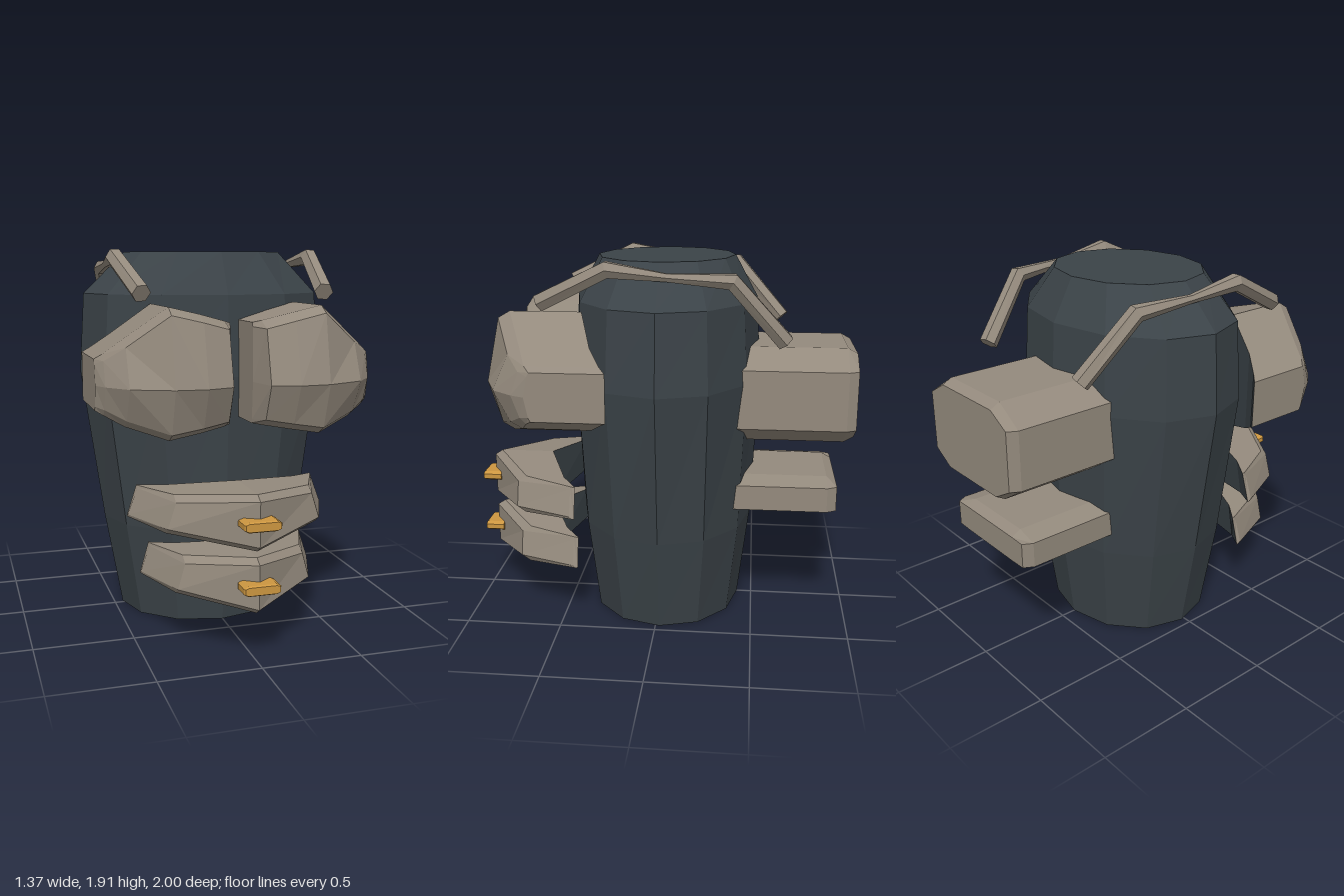
import * as THREE from 'three';

const armour = new THREE.MeshStandardMaterial({ color: 0x948a7d });
armour.name = 'taupe armour';
const dark = new THREE.MeshStandardMaterial({ color: 0x3b4348 });
dark.name = 'slate suit';
const gold = new THREE.MeshStandardMaterial({ color: 0xcc9640 });
gold.name = 'gold';

// Flat-shaded solid through closed rings of [x, y, z]; material group 1 holds
// the strip between the last and first point of each ring when backStrip is set.
function loft(rings, backStrip = false) {
  const main = [], back = [], n = rings[0].length;
  for (let i = 0; i + 1 < rings.length; i++) {
    for (let j = 0; j < n; j++) {
      const k = (j + 1) % n, out = backStrip && k === 0 ? back : main;
      const [a, b, c, d] = [rings[i][j], rings[i][k], rings[i + 1][k], rings[i + 1][j]];
      out.push([a, b, c], [a, c, d]);
    }
  }
  const first = rings[0], last = rings[rings.length - 1];
  for (let j = 1; j + 1 < n; j++) {
    main.push([first[0], first[j + 1], first[j]], [last[0], last[j], last[j + 1]]);
  }
  const tris = [...main, ...back];
  // Turn the solid outward if its signed volume is negative
  let volume = 0;
  const va = new THREE.Vector3(), vb = new THREE.Vector3(), vc = new THREE.Vector3();
  for (const [a, b, c] of tris) {
    volume += va.fromArray(a).dot(vb.fromArray(b).cross(vc.fromArray(c)));
  }
  if (volume < 0) tris.forEach((t) => t.reverse());
  const geo = new THREE.BufferGeometry();
  geo.setAttribute('position', new THREE.Float32BufferAttribute(tris.flat(2), 3));
  geo.computeVertexNormals();
  geo.addGroup(0, main.length * 3, 0);
  if (back.length) geo.addGroup(main.length * 3, back.length * 3, 1);
  return geo;
}

function add(parent, name, geo, material) {
  const mesh = new THREE.Mesh(geo, material);
  mesh.name = name;
  parent.add(mesh);
  return mesh;
}

// Twelve-sided tapering torso: [y, half width, half depth]
function torso() {
  const levels = [[0, 0.455, 0.4], [0.5, 0.545, 0.46], [1.29, 0.66, 0.495], [1.69, 0.635, 0.47], [1.9, 0.42, 0.355]];
  return loft(levels.map(([y, rx, rz]) => Array.from({ length: 12 }, (_, i) => {
    const a = (i / 12) * Math.PI * 2;
    return [rx * Math.sin(a), y, -0.02 + rz * Math.cos(a)];
  })));
}

// Bulging chest plate, built as upright slices from the middle outward
function chestPlate(side) {
  // x, top y, bottom y, inset, back z, rim z, inset z, middle z
  const slices = [
    [0.055, 1.57, 1.09, 0.02, 0.44, 0.65, 0.66, 0.67],
    [0.09, 1.58, 1.085, 0.035, 0.43, 0.68, 0.76, 0.83],
    [0.22, 1.615, 1.065, 0.035, 0.4, 0.72, 0.79, 0.87],
    [0.37, 1.65, 1.04, 0.035, 0.37, 0.73, 0.79, 0.86],
    [0.56, 1.505, 1.1, 0.035, 0.3, 0.64, 0.7, 0.78],
    [0.65, 1.435, 1.15, 0.03, 0.24, 0.6, 0.63, 0.67],
    [0.685, 1.41, 1.17, 0.02, 0.21, 0.57, 0.58, 0.6],
  ];
  return loft(slices.map(([x, top, bottom, inset, zBack, zRim, zInset, zMid]) => [
    [bottom, zBack], [bottom, zRim], [bottom + inset, zInset], [1.29, zMid],
    [top - inset, zInset], [top, zRim], [top, zBack],
  ].map(([y, z]) => [x * side, y, z])), true);
}

// Pointed abdominal plate bent around the front
function bellyPlate(y0, widthScale) {
  // x, top y, bottom y, inset, back z, rim z, front z, lean of the end
  const half = [
    [0, 0.27, 0, 0.027, 0.62, 0.91, 0.95, 0],
    [0.36, 0.24, 0.055, 0.03, 0.49, 0.69, 0.735, 0.02],
    [0.485, 0.23, 0.075, 0.012, 0.41, 0.425, 0.435, 0.025],
  ];
  const row = ([x, top, bottom, inset, zBack, zRim, zFront, lean], side) => [
    [bottom, zBack, lean], [bottom, zRim, lean], [bottom + inset, zFront, lean],
    [top - inset, zFront, -lean], [top, zRim, -lean], [top, zBack, -lean],
  ].map(([y, z, dx]) => [(x + dx) * side * widthScale, y0 + y, z]);
  return loft([row(half[2], -1), row(half[1], -1), row(half[0], 1), row(half[1], 1), row(half[2], 1)], true);
}

// Octagonal block along z with a chamfered far end
function octagonBlock(w, h, cutX, cutY, y, zNear, zFar, chamfer) {
  const ring = (inset, z) => [
    [w - cutX, h - inset], [w - inset, h - cutY], [w - inset, cutY - h], [w - cutX, inset - h],
    [cutX - w, inset - h], [inset - w, cutY - h], [inset - w, h - cutY], [cutX - w, h - inset],
  ].map(([px, py]) => [px, y + py, z]);
  const dir = Math.sign(zFar - zNear);
  return loft([ring(0, zNear), ring(0, zFar - dir * chamfer), ring(chamfer * 0.55, zFar)]);
}

// Six-sided shoulder bar that thins in the middle
function shoulderBar(side) {
  const path = [
    [0.455, 1.705, 0.56, 0.047], [0.515, 1.873, 0.22, 0.045], [0.505, 1.838, -0.06, 0.022],
    [0.475, 1.82, -0.37, 0.045], [0.385, 1.52, -0.63, 0.047],
  ];
  const points = path.map(([x, y, z]) => new THREE.Vector3(x * side, y, z));
  return loft(points.map((p, i) => {
    const t = points[Math.min(i + 1, 4)].clone().sub(points[Math.max(i - 1, 0)]).normalize();
    const up = new THREE.Vector3(side, 0, 0).cross(t).normalize();
    const across = t.clone().cross(up);
    return Array.from({ length: 6 }, (_, j) => {
      const a = (j / 6) * Math.PI * 2, r = path[i][3];
      return p.clone().addScaledVector(across, r * Math.cos(a)).addScaledVector(up, r * Math.sin(a)).toArray();
    });
  }));
}

export function createModel() {
  const model = new THREE.Group();
  model.name = 'armouredTorso';
  add(model, 'torso', torso(), dark);

  for (const [label, side] of [['left', 1], ['right', -1]]) {
    add(model, label + 'ChestPlate', chestPlate(side), [armour, dark]);
    add(model, label + 'ShoulderBar', shoulderBar(side), armour);
  }

  // Belly plates with their gold studs
  for (const [label, y, width] of [['upper', 0.535, 1], ['lower', 0.235, 0.875]]) {
    add(model, label + 'BellyPlate', bellyPlate(y, width), [armour, dark]);
    add(model, label + 'Stud', octagonBlock(0.09, 0.025, 0.022, 0.012, y + 0.14, 0.9, 1, 0.01), gold);
  }

  // Back packs
  add(model, 'upperBackPack', octagonBlock(0.355, 0.245, 0.145, 0.095, 1.217, -0.3, -1, 0.05), armour);
  add(model, 'lowerBackPack', octagonBlock(0.315, 0.095, 0.11, 0.03, 0.685, -0.3, -0.925, 0.05), armour);
  return model;
}
